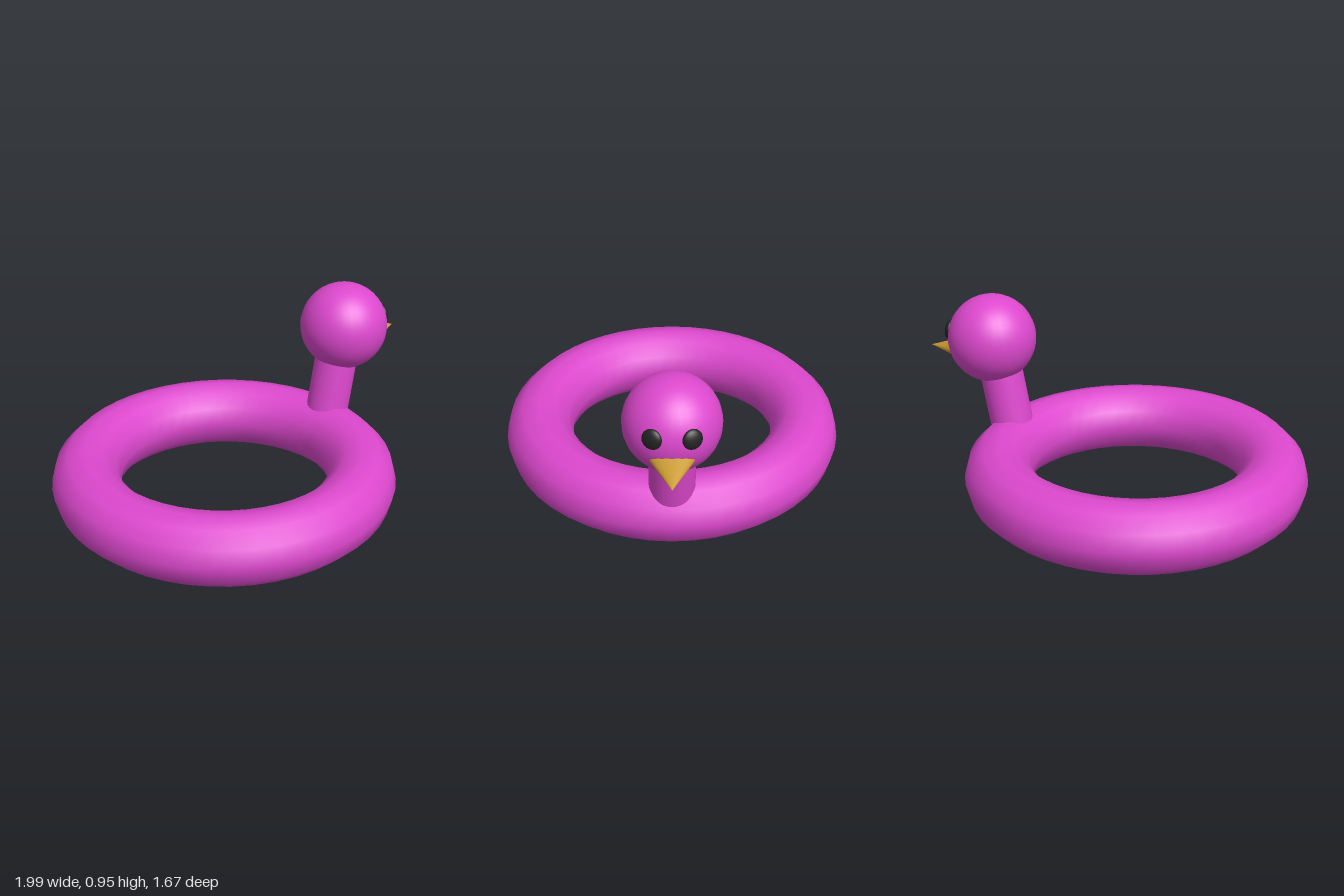
import * as THREE from 'three';

export function createModel() {
  const model = new THREE.Group();
  const pink = new THREE.MeshStandardMaterial({ color: 0xdd48ce });
  const black = new THREE.MeshStandardMaterial({ color: 0x222222 });
  const gold = new THREE.MeshStandardMaterial({ color: 0xc99a30 });

  function add(name, geometry, material, x, y, z) {
    const mesh = new THREE.Mesh(geometry, material);
    mesh.name = name;
    mesh.position.set(x, y, z);
    model.add(mesh);
    return mesh;
  }

  // Inflatable ring lying flat
  add('ring', new THREE.TorusGeometry(0.668, 0.167, 12, 48).rotateX(Math.PI / 2), pink, -0.165, 0.167, 0);

  // Neck leaning forward, sunk into ring and head
  const neck = add('neck', new THREE.CylinderGeometry(0.107, 0.107, 0.42, 32), pink, 0.556, 0.42, 0);
  neck.rotation.z = -0.195;

  // Head
  const headCentre = new THREE.Vector3(0.63, 0.73, 0);
  add('head', new THREE.SphereGeometry(0.22, 32, 24), pink, ...headCentre);

  // Flattened eyes lying on the head surface
  for (const [name, side] of [['leftEye', -1], ['rightEye', 1]]) {
    const normal = new THREE.Vector3(0.198, 0.043, side * 0.086).normalize();
    const p = normal.clone().multiplyScalar(0.217).add(headCentre);
    const eye = add(name, new THREE.SphereGeometry(0.046, 20, 14), black, p.x, p.y, p.z);
    eye.scale.z = 0.45;
    eye.quaternion.setFromUnitVectors(new THREE.Vector3(0, 0, 1), normal);
  }

  // Wide flat beak, tip drooping slightly
  const beakGeometry = new THREE.ConeGeometry(0.1, 0.19, 32);
  beakGeometry.rotateZ(-Math.PI / 2);
  beakGeometry.scale(1, 0.43, 1);
  const beak = add('beak', beakGeometry, gold, 0.9, 0.646, 0);
  beak.rotation.z = -0.11;

  return model;
}
